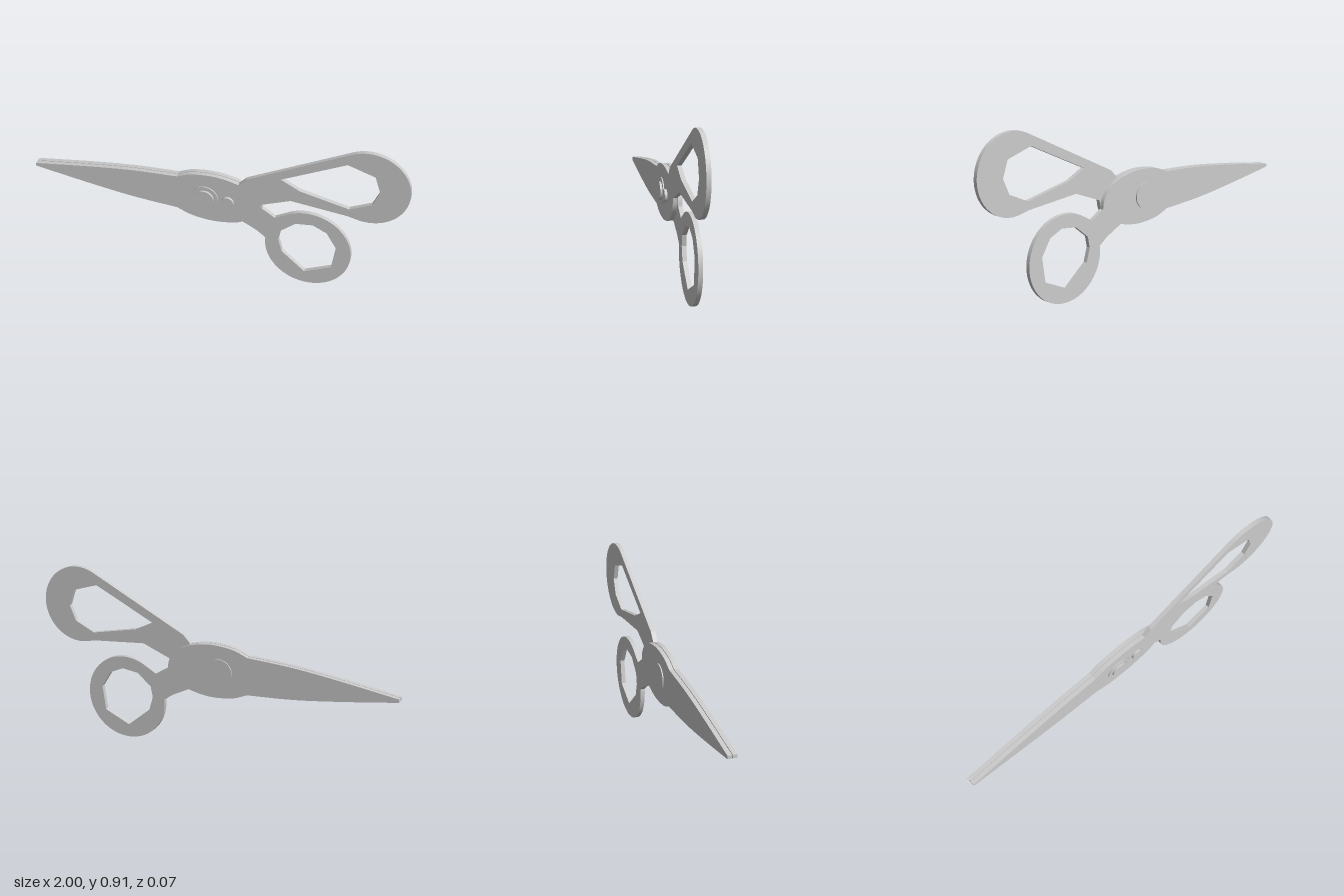
import * as THREE from 'three';
import { toCreasedNormals } from 'three/addons/utils/BufferGeometryUtils.js';

const MID = 0.4525; // height of the blade axis and pivot
const material = new THREE.MeshStandardMaterial({ color: 0xcccccc });

const vec = ([x, y]) => new THREE.Vector2(x, y);
const mirrorY = (pts) => pts.map(([x, y]) => [x, 2 * MID - y]);

// Points along a circular arc, angles in degrees
function arc(cx, cy, r, from, to, n = 40) {
  return Array.from({ length: n + 1 }, (_, i) => {
    const a = THREE.MathUtils.degToRad(from + ((to - from) * i) / n);
    return [cx + r * Math.cos(a), cy + r * Math.sin(a)];
  });
}

// Smooth curve through points
const smooth = (pts, n = 24) =>
  new THREE.SplineCurve(pts.map(vec)).getPoints(n).map((p) => [p.x, p.y]);

// Flat plate with one finger hole; the clockwise outline is turned
// counter-clockwise so the hole walls face into the hole
function plate(name, outline, hole, z0, z1) {
  const shape = new THREE.Shape(outline.map(vec).reverse());
  shape.holes.push(new THREE.Path(hole.map(vec)));
  const geo = new THREE.ExtrudeGeometry(shape, { depth: z1 - z0, bevelEnabled: false });
  geo.translate(0, 0, z0);
  const mesh = new THREE.Mesh(toCreasedNormals(geo, 0.3), material);
  mesh.name = name;
  return mesh;
}

// Round stud lying along z
function stud(name, x, r, z0, z1) {
  const geo = new THREE.CylinderGeometry(r, r, z1 - z0, 40);
  geo.rotateX(Math.PI / 2);
  const mesh = new THREE.Mesh(geo, material);
  mesh.name = name;
  mesh.position.set(x, MID, (z0 + z1) / 2);
  return mesh;
}

export function createModel() {
  const group = new THREE.Group();
  group.name = 'scissors';

  // Blade edge from tip to shoulder, then the swelling around the pivot
  const bladeTop = [
    ...smooth([[-1, 0.461], [-0.7, 0.506], [-0.45, 0.537], [-0.2, 0.553]]),
    ...smooth([[-0.19, 0.558], [-0.12, 0.584], [-0.02, 0.595], [0.06, 0.589], [0.13, 0.573]], 16),
  ];
  const bladeBottom = mirrorY(bladeTop).reverse();
  // Rounded heel of each blade, opposite its handle
  const heel = smooth([[0.25, 0.475], [0.242, 0.43], [0.215, 0.387], [0.175, 0.353]], 12);

  // Front half with the long upper handle
  const frontOutline = [
    ...bladeTop,
    [0.171, 0.617],
    ...arc(0.793, 0.702, 0.207, 117, -98),
    [0.7, 0.511], [0.405, 0.537],
    ...heel,
    ...bladeBottom,
  ];
  const frontHole = [
    [0.35, 0.658], [0.68, 0.821], [0.82, 0.778], [0.85, 0.69],
    [0.815, 0.608], [0.705, 0.555], [0.45, 0.608],
  ];
  group.add(plate('frontHalf', frontOutline, frontHole, -0.004, 0.019));

  // Back half with the round lower handle
  const backOutline = [
    ...bladeTop,
    ...mirrorY(heel).reverse(),
    [0.257, 0.428], [0.32, 0.388],
    ...arc(0.5, 0.228, 0.228, 122, -187, 56),
    [0.273, 0.248], [0.225, 0.284],
    ...bladeBottom,
  ];
  const backHole = [
    [0.43, 0.376], [0.52, 0.388], [0.595, 0.354], [0.648, 0.268], [0.63, 0.135],
    [0.49, 0.071], [0.363, 0.178], [0.342, 0.252], [0.353, 0.311],
  ];
  group.add(plate('backHalf', backOutline, backHole, -0.03, -0.007));

  // Pivot rivet and stop pin
  group.add(
    stud('pivotWasher', -0.047, 0.07, -0.036, 0.025),
    stud('pivotCap', -0.047, 0.048, 0.02, 0.036),
    stud('stopPin', 0.075, 0.033, 0.015, 0.033),
  );
  return group;
}
